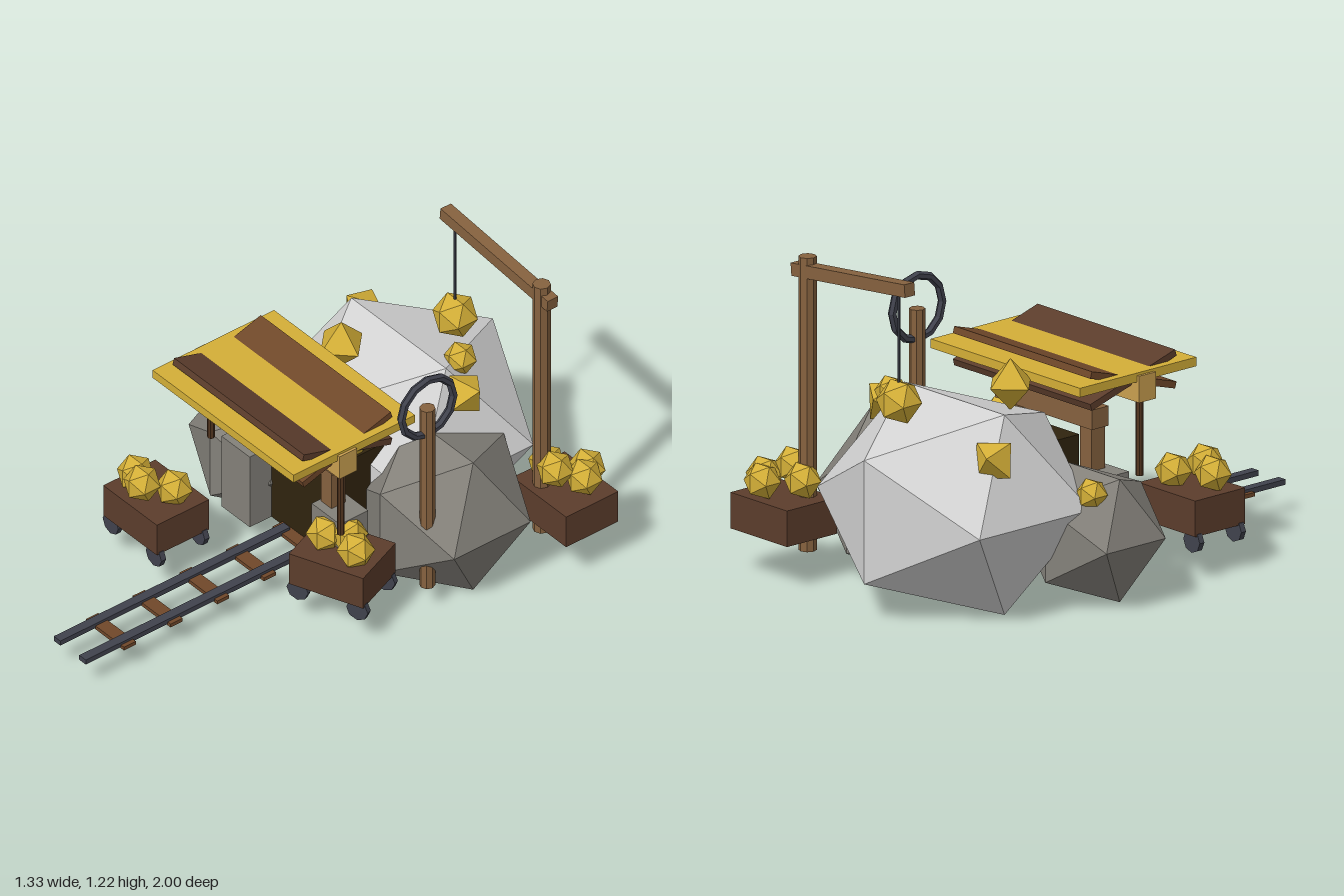
import * as THREE from 'three';

const mat = (name, color) => {
  const m = new THREE.MeshStandardMaterial({ color, flatShading: true });
  m.name = name;
  return m;
};

export function createModel() {
  const paleRock = mat('pale rock', 0xd3d3d3);
  const greyRock = mat('grey rock', 0x84817a);
  const wood = mat('wood', 0x86623f);
  const darkWood = mat('dark wood', 0x52351f);
  const plankWood = mat('plank wood', 0x70482a);
  const cartWood = mat('cart wood', 0x5c3d2c);
  const tan = mat('tan wood', 0xcaa050);
  const gold = mat('gold', 0xd4af37);
  const iron = mat('iron', 0x40424d);
  const shadow = mat('tunnel dark', 0x30240f);

  const root = new THREE.Group();
  root.name = 'mineEntrance';

  const add = (name, geo, material, pos, rot = [0, 0, 0], parent = root) => {
    const m = new THREE.Mesh(geo, material);
    m.name = name;
    m.position.set(...pos);
    m.rotation.set(...rot);
    parent.add(m);
    return m;
  };
  const box = (name, material, size, pos, rot, parent) =>
    add(name, new THREE.BoxGeometry(...size), material, pos, rot, parent);
  // Upright pole between two heights
  const pole = (name, material, r, x, z, y0, y1, sides = 8) =>
    add(name, new THREE.CylinderGeometry(r, r, y1 - y0, sides), material, [x, (y0 + y1) / 2, z]);
  const nugget = (r, pos, parent) =>
    add('goldNugget', new THREE.IcosahedronGeometry(r, 0), gold, pos, [0, 0, 0], parent);
  const crystal = (r, pos, rot) =>
    add('goldCrystal', new THREE.OctahedronGeometry(r, 0), gold, pos, rot);

  // Boulders
  const main = add('mainBoulder', new THREE.IcosahedronGeometry(0.51, 0), paleRock, [-0.1, 0.382, -0.566]);
  main.scale.y = 0.863;
  add('leftBoulder', new THREE.IcosahedronGeometry(0.335, 0), greyRock, [0.3, 0.29, -0.44]);
  add('rightBoulder', new THREE.IcosahedronGeometry(0.27, 0), greyRock, [-0.435, 0.257, -0.2]);

  // Tunnel with stone blocks and timber frame
  const cx = -0.036;
  box('tunnel', shadow, [0.37, 0.44, 0.38], [-0.031, 0.325, -0.26]);
  for (const s of [-1, 1]) {
    box('stoneBlock', greyRock, [0.16, 0.315, 0.13], [cx + s * 0.255, 0.263, -0.035]);
    box('framePost', wood, [0.06, 0.48, 0.065], [cx + s * 0.215, 0.345, -0.0375]);
    pole('roofPole', darkWood, 0.014, cx + s * 0.367, 0.052, 0.41, 0.72);
  }
  box('frameLintel', wood, [0.518, 0.074, 0.08], [cx, 0.618, -0.04]);

  // Roof: flat board, ridge beam and two crossed planks
  box('roofBoard', gold, [0.797, 0.034, 0.56], [cx, 0.791, 0.016]);
  box('ridgeBeam', tan, [0.818, 0.1, 0.08], [cx, 0.748, 0.052]);
  box('roofPlankFront', cartWood, [0.735, 0.026, 0.425], [cx, 0.772, 0.022], [-0.29, 0, 0]);
  box('roofPlankBack', plankWood, [0.735, 0.026, 0.425], [cx, 0.772, 0.022], [0.29, 0, 0]);

  // Post with a hanging ring
  pole('ringPost', wood, 0.029, 0.45, -0.25, 0.105, 0.9);
  add('ring', new THREE.TorusGeometry(0.12, 0.016, 6, 12), iron, [0.45, 0.903, -0.25], [0, Math.PI / 2, 0]);

  // Crane
  pole('cranePost', wood, 0.033, 0.452, -0.775, 0.105, 1.205);
  box('craneArm', wood, [0.61, 0.048, 0.048], [0.207, 1.176, -0.778], [0, 0, -0.096]);
  pole('craneRope', iron, 0.006, -0.038, -0.776, 0.84, 1.195, 6);
  nugget(0.086, [-0.038, 0.775, -0.776]);

  // Rails and sleepers
  for (const x of [-0.111, 0.033]) box('rail', iron, [0.037, 0.02, 1.06], [x, 0.122, 0.47]);
  for (const z of [-0.05, 0.165, 0.38, 0.595, 0.81])
    box('sleeper', plankWood, [0.215, 0.015, 0.055], [-0.039, 0.114, z]);

  // Ore carts
  const cart = (name, x, z, turn, wheels, ore) => {
    const g = new THREE.Group();
    g.name = name;
    g.position.set(x, 0, z);
    g.rotation.y = turn;
    root.add(g);
    box('cartBody', cartWood, [0.303, 0.135, 0.24], [0, 0.241, 0], [0, 0, 0], g);
    if (wheels)
      for (const sx of [-1, 1]) for (const sz of [-1, 1])
        add('cartWheel', new THREE.CylinderGeometry(0.044, 0.044, 0.022, 8), iron,
          [sx * 0.122, 0.15, sz * 0.1], [Math.PI / 2, 0, 0], g);
    ore.forEach((p) => nugget(0.07, p, g));
  };
  cart('rightCart', -0.375, 0.328, 0, true,
    [[-0.08, 0.365, 0.03], [0, 0.383, 0.065], [0.065, 0.355, -0.03]]);
  cart('leftCart', 0.3, 0.02, 0.38, true,
    [[-0.07, 0.352, 0.0], [0.01, 0.358, -0.03], [0.075, 0.352, 0.035]]);
  cart('backCart', 0.512, -0.836, 0, false,
    [[0.03, 0.37, -0.075], [0.075, 0.375, -0.025], [0.01, 0.41, 0.055], [-0.075, 0.375, 0.025]]);

  // Gold set into the rocks
  nugget(0.062, [0.14, 0.745, -0.655]);
  nugget(0.06, [-0.527, 0.44, -0.29]);
  nugget(0.073, [0.09, 0.565, -0.17]);
  crystal(0.097, [-0.16, 0.778, -0.35], [0, 0, 0]);
  crystal(0.09, [0.24, 0.675, -0.592], [0.3, 0.3, 0.5]);
  crystal(0.09, [-0.425, 0.62, -0.67], [0.4, 0.5, 0.5]);

  return root;
}
